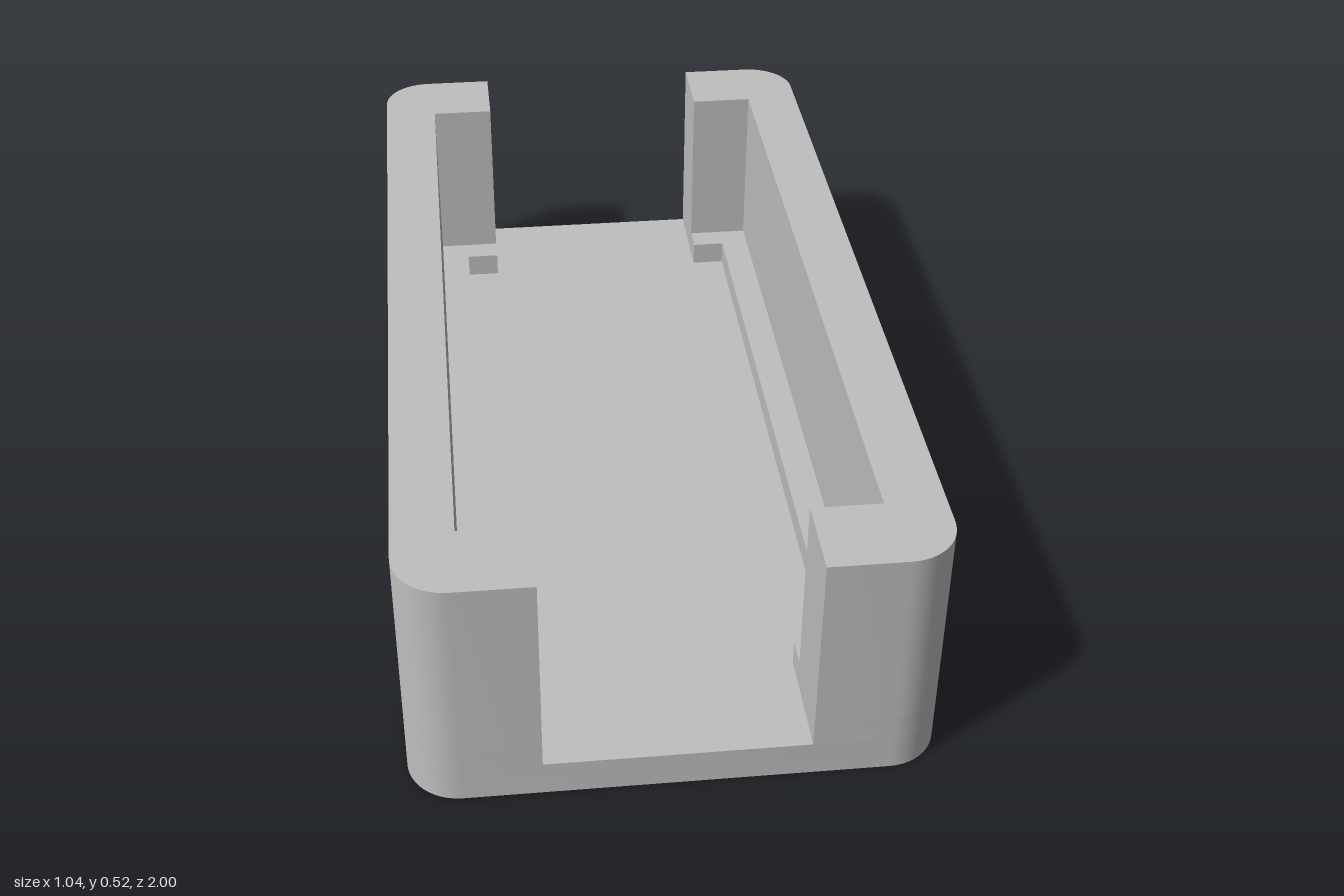
import * as THREE from 'three';
import { toCreasedNormals } from 'three/addons/utils/BufferGeometryUtils.js';

const W = 0.52, L = 1, H = 0.52;   // half width, half length, height
const R = 0.105;                   // vertical corner radius
const FLOOR = 0.075, LEDGE = 0.13; // top of floor, top of inner ledge
const GAP = 0.26;                  // half width of the end openings

// Points of the rounded outer edge on one side (side = 1 or -1)
function outerEdge(side) {
  const points = [];
  for (const end of [-1, 1]) {
    for (let i = 0; i <= 12; i++) {
      const a = (end < 0 ? i - 12 : i) / 12 * Math.PI / 2;
      points.push(new THREE.Vector2(
        side * (W - R + R * Math.cos(a)),
        end * (L - R) + R * Math.sin(a)));
    }
  }
  return points;
}

// Upright slab with the given plan, from y0 to y1
function slab(name, points, y0, y1, material) {
  const geometry = new THREE.ExtrudeGeometry(new THREE.Shape(points), { depth: y1 - y0, bevelEnabled: false });
  geometry.rotateX(-Math.PI / 2);
  geometry.translate(0, y0, 0);
  const mesh = new THREE.Mesh(toCreasedNormals(geometry, Math.PI / 6), material);
  mesh.name = name;
  return mesh;
}

// C-shaped plan: outer edge, end returns, and a recess to (innerX, innerZ)
function sidePlan(side, innerX, innerZ) {
  const inner = [[GAP, L], [GAP, innerZ], [innerX, innerZ], [innerX, -innerZ], [GAP, -innerZ], [GAP, -L]];
  return [...outerEdge(side), ...inner.map(([x, z]) => new THREE.Vector2(side * x, z))];
}

export function createModel() {
  const model = new THREE.Group();
  model.name = 'openTray';
  const grey = new THREE.MeshStandardMaterial({ color: 0xbfbfbf });
  grey.name = 'grey';

  // Base plate
  model.add(slab('floor', [...outerEdge(1), ...outerEdge(-1).reverse()], 0, FLOOR, grey));

  // Side walls with a low inner ledge
  for (const [label, side] of [['left', 1], ['right', -1]]) {
    model.add(slab(label + 'Ledge', sidePlan(side, 0.335, 0.77), FLOOR, LEDGE, grey));
    model.add(slab(label + 'Wall', sidePlan(side, 0.4, 0.83), LEDGE, H, grey));
  }
  return model;
}
